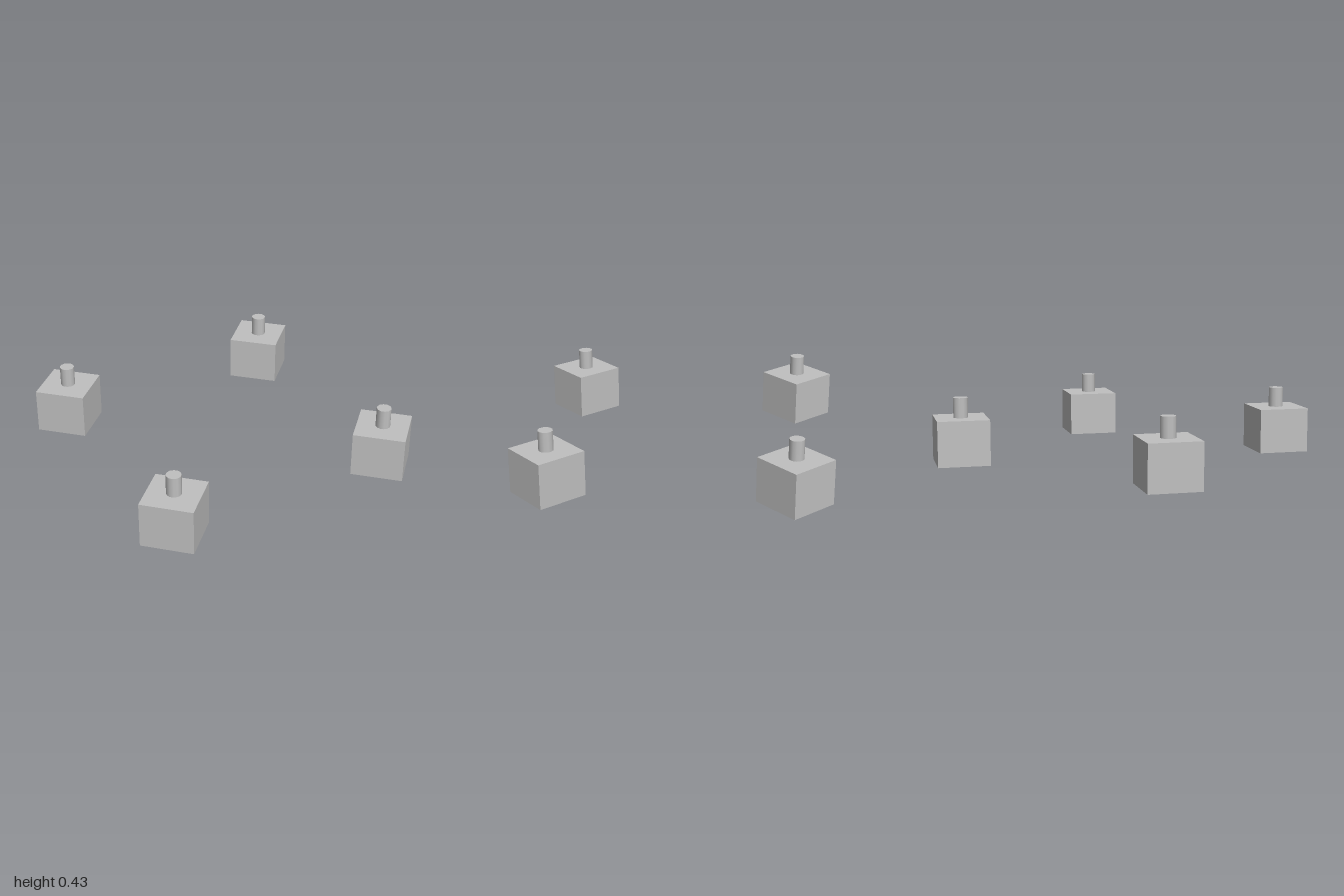
import * as THREE from 'three';

const CENTRE = 0.763; // distance of each foot from the middle, along x and z
const HALF_DIAGONAL = 0.237;
const BLOCK_HEIGHT = 0.295;
const PEG_RADIUS = 0.048;
const PEG_TOP = 0.425;

export function createModel() {
  const model = new THREE.Group();
  model.name = 'cornerFeet';

  const grey = new THREE.MeshStandardMaterial({ color: 0xc0c0c0 });
  grey.name = 'light grey';

  const side = HALF_DIAGONAL * Math.SQRT2;
  const pegHeight = PEG_TOP - BLOCK_HEIGHT;
  const blockGeometry = new THREE.BoxGeometry(side, BLOCK_HEIGHT, side);
  const pegGeometry = new THREE.CylinderGeometry(PEG_RADIUS, PEG_RADIUS, pegHeight, 12);

  // One foot: a block turned 45 degrees with a round peg on top
  function addFoot(name, x, z) {
    const foot = new THREE.Group();
    foot.name = name;
    foot.position.set(x, 0, z);

    const block = new THREE.Mesh(blockGeometry, grey);
    block.name = 'block';
    block.position.y = BLOCK_HEIGHT / 2;
    block.rotation.y = Math.PI / 4;

    const peg = new THREE.Mesh(pegGeometry, grey);
    peg.name = 'peg';
    peg.position.y = BLOCK_HEIGHT + pegHeight / 2;

    foot.add(block, peg);
    model.add(foot);
  }

  // Four feet, one at each corner
  for (const [xName, sx] of [['Left', 1], ['Right', -1]]) {
    for (const [zName, sz] of [['front', 1], ['back', -1]]) {
      addFoot(`${zName}${xName}Foot`, sx * CENTRE, sz * CENTRE);
    }
  }

  return model;
}
